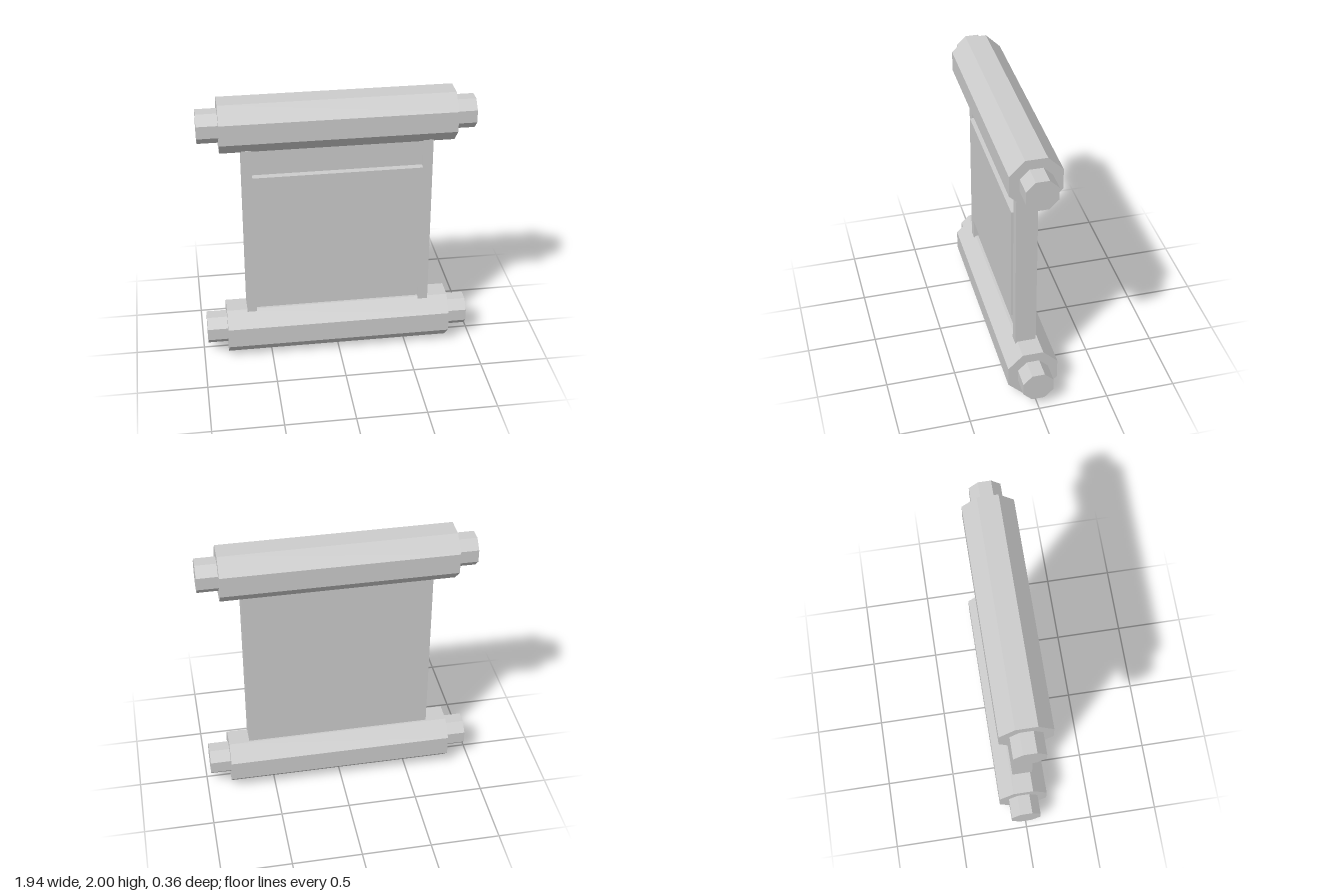
import * as THREE from 'three';

export function createModel() {
  const model = new THREE.Group();
  model.name = 'scroll';
  const grey = new THREE.MeshStandardMaterial({ color: 0xcccccc });
  grey.name = 'plain grey';

  const add = (name, geometry, x, y, z) => {
    const mesh = new THREE.Mesh(geometry, grey);
    mesh.name = name;
    mesh.position.set(x, y, z);
    model.add(mesh);
  };

  // Box given by its limits on each axis
  const addBox = (name, x0, x1, y0, y1, z0, z1) =>
    add(name, new THREE.BoxGeometry(x1 - x0, y1 - y0, z1 - z0),
      (x0 + x1) / 2, (y0 + y1) / 2, (z0 + z1) / 2);

  // Octagonal bar lying along x, with flats facing up and forward
  const bar = (halfWidth, length) => {
    const g = new THREE.CylinderGeometry(1, 1, length, 8).toNonIndexed();
    const r = halfWidth / Math.cos(Math.PI / 8);
    g.rotateY(Math.PI / 8).scale(r, 1, r).rotateZ(Math.PI / 2);
    g.computeVertexNormals();
    return g;
  };

  // Rollers with a knob at each end
  for (const [label, y] of [['bottom', 0.179], ['top', 1.821]]) {
    add(label + 'Roller', bar(0.179, 1.64), 0, y, 0);
    for (const side of [-1, 1]) {
      add(label + (side > 0 ? 'LeftKnob' : 'RightKnob'), bar(0.109, 0.15), side * 0.893, y, 0);
    }
  }

  // Sheet, recessed between the raised side borders
  addBox('sheet', -0.6, 0.6, 0.345, 1.655, -0.06, 0.055);
  addBox('rightBorder', -0.67, -0.6, 0.345, 1.655, -0.06, 0.09);
  addBox('leftBorder', 0.6, 0.67, 0.345, 1.655, -0.06, 0.09);

  // Raised writing panel
  addBox('panel', -0.6, 0.6, 0.555, 1.45, 0.055, 0.105);

  return model;
}
